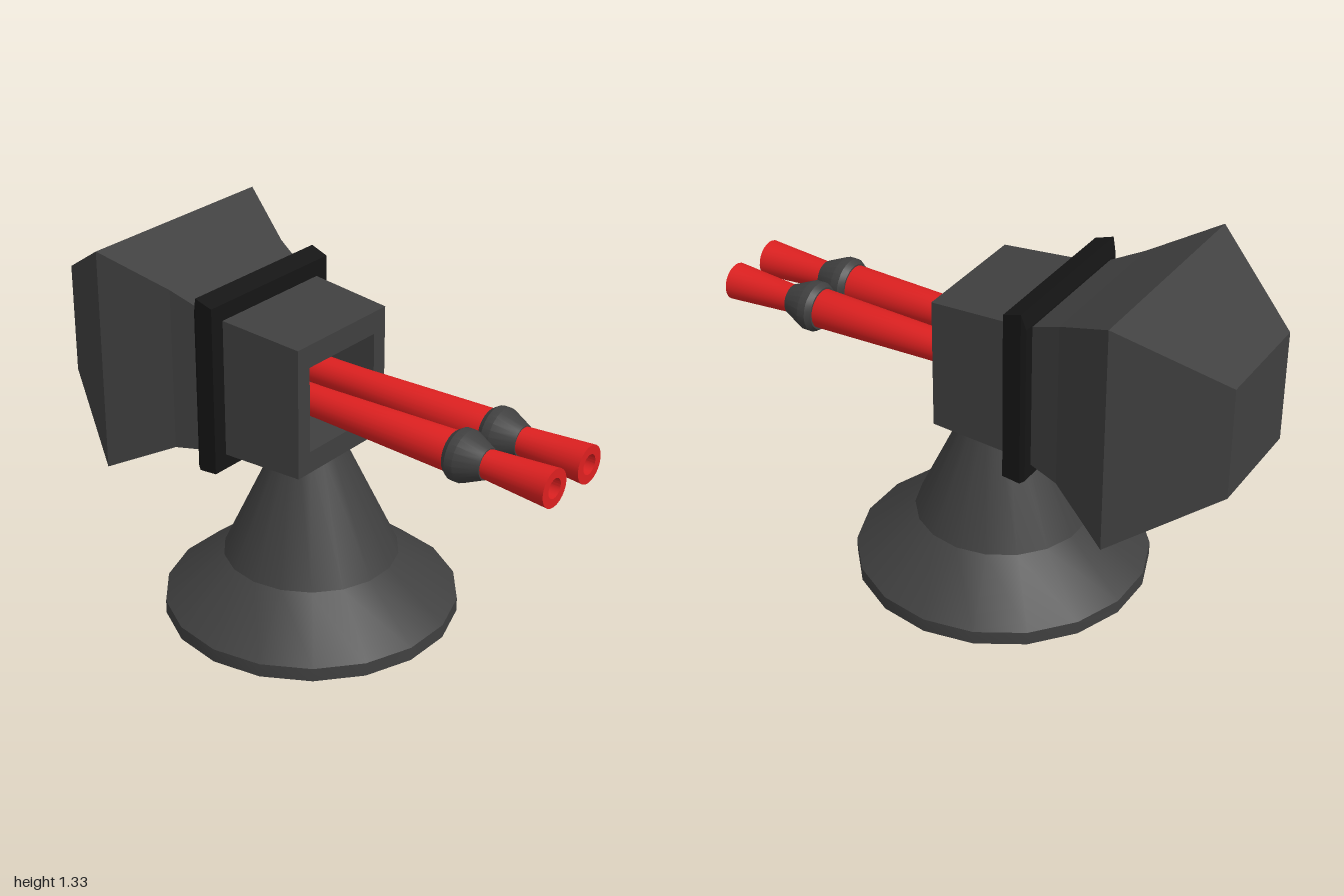
import * as THREE from 'three';
import { toCreasedNormals } from 'three/addons/utils/BufferGeometryUtils.js';

const grey = new THREE.MeshStandardMaterial({ color: 0x404040 });
const black = new THREE.MeshStandardMaterial({ color: 0x151515 });
const red = new THREE.MeshStandardMaterial({ color: 0xdd2020 });

function addMesh(parent, name, geometry, material) {
  const mesh = new THREE.Mesh(geometry, material);
  mesh.name = name;
  parent.add(mesh);
  return mesh;
}

// Rectangular sections [z, halfWidth, bottom, top], joined in order from front to back
function loft(sections, capped) {
  const points = [];
  const index = [];
  for (const [z, w, y0, y1] of sections) {
    points.push(-w, y0, z, w, y0, z, w, y1, z, -w, y1, z);
  }
  for (let s = 0; s < sections.length - 1; s++) {
    for (let i = 0; i < 4; i++) {
      const a = s * 4 + i, b = s * 4 + (i + 1) % 4;
      index.push(a, a + 4, b + 4, a, b + 4, b);
    }
  }
  if (capped) {
    const e = (sections.length - 1) * 4;
    index.push(0, 1, 2, 0, 2, 3, e, e + 2, e + 1, e, e + 3, e + 2);
  }
  const indexed = new THREE.BufferGeometry();
  indexed.setAttribute('position', new THREE.Float32BufferAttribute(points, 3));
  indexed.setIndex(index);
  const geometry = indexed.toNonIndexed();
  geometry.computeVertexNormals();
  return geometry;
}

// Turned profile of [radius, height] pairs with creased edges
function turned(profile, sides, start = 0) {
  const points = profile.map(([r, y]) => new THREE.Vector2(r, y));
  return toCreasedNormals(new THREE.LatheGeometry(points, sides, start), 0.42);
}

export function createModel() {
  const model = new THREE.Group();
  model.name = 'turret';

  // Flared pedestal
  const pedestal = turned(
    [[0, 0], [0.53, 0], [0.53, 0.05], [0.315, 0.22], [0.12, 0.64], [0, 0.64]], 18, Math.PI / 2);
  addMesh(model, 'pedestal', pedestal, grey).position.z = -0.056;

  // Housing: recess back, recess mouth, front rim, then out to the bulge and tapered tail
  addMesh(model, 'housing', loft([
    [-0.12, 0.173, 0.72, 1.035],
    [0.083, 0.173, 0.72, 1.035],
    [0.083, 0.233, 0.64, 1.117],
    [-0.23, 0.247, 0.635, 1.14],
    [-0.31, 0.257, 0.63, 1.157],
    [-0.43, 0.29, 0.615, 1.212],
    [-0.66, 0.4, 0.505, 1.327],
    [-1, 0.2, 0.712, 1.12],
  ], true), grey);

  // Collar frame around the housing
  addMesh(model, 'collar', loft([
    [-0.232, 0.24, 0.64, 1.13],
    [-0.232, 0.302, 0.58, 1.2],
    [-0.3, 0.305, 0.575, 1.222],
    [-0.315, 0.296, 0.585, 1.165],
    [-0.315, 0.25, 0.635, 1.15],
  ], false), black);

  // Twin barrels with muzzle bores and flared rings
  const barrel = turned([
    [0, -0.12], [0.053, -0.12], [0.055, 0.08], [0.071, 0.63], [0.05, 0.75],
    [0.067, 1], [0.035, 1], [0.035, 0.92], [0, 0.92],
  ], 24).rotateX(Math.PI / 2);
  const ring = turned([
    [0.05, 0.62], [0.077, 0.62], [0.09, 0.64], [0.09, 0.67], [0.054, 0.75], [0.045, 0.75],
  ], 24).rotateX(Math.PI / 2);
  for (const [side, x] of [['right', -0.092], ['left', 0.108]]) {
    const gun = new THREE.Group();
    gun.name = side + 'Gun';
    gun.position.set(x, 0.869, 0);
    addMesh(gun, side + 'Barrel', barrel, red);
    addMesh(gun, side + 'BarrelRing', ring, grey);
    model.add(gun);
  }
  return model;
}
